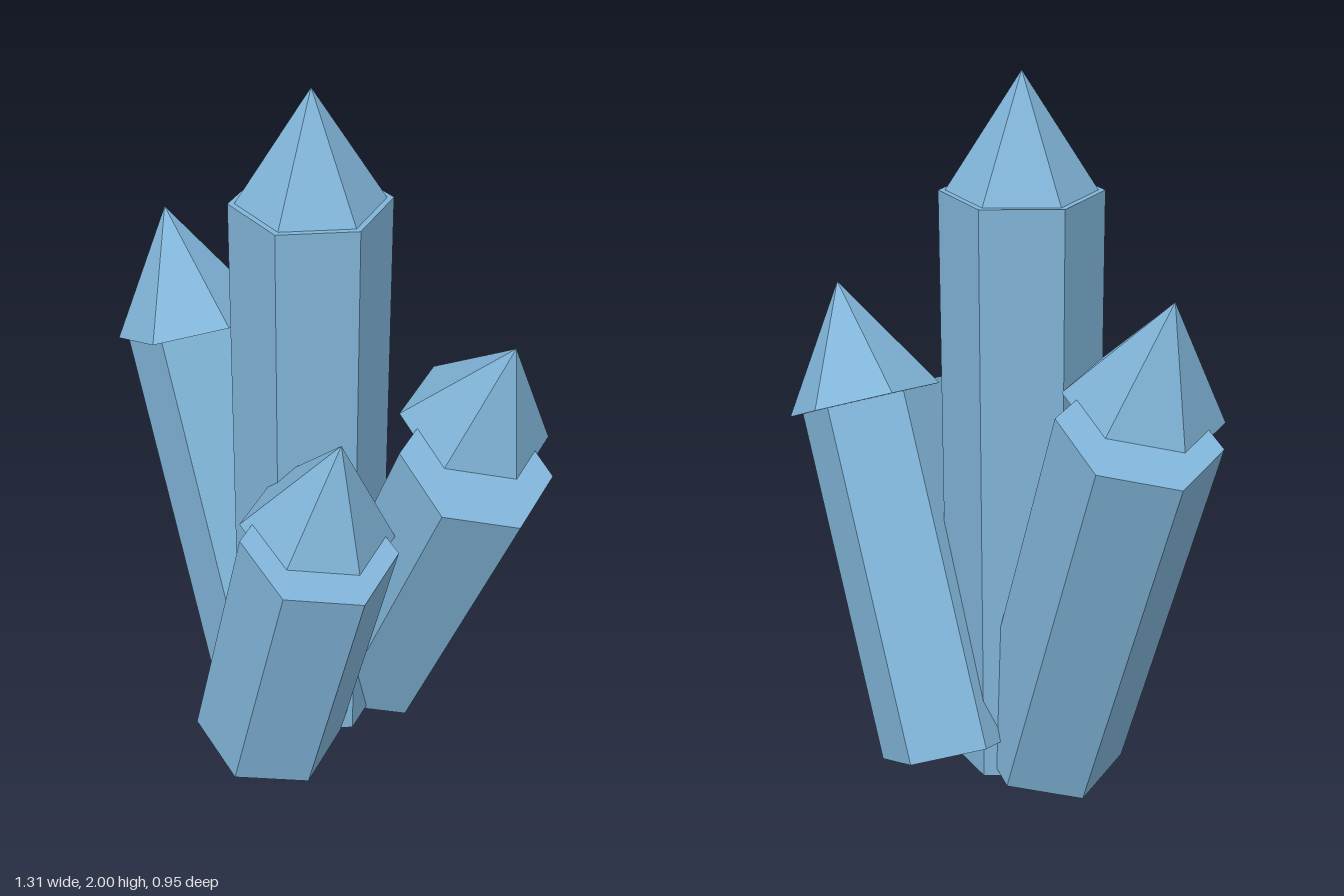
import * as THREE from 'three';

const SHAFT_RADIUS = 0.215;
const TIP_RADIUS = 0.213;
const TIP_HEIGHT = 0.335;

// Each crystal: centre of the shaft's bottom and top, and the apex of its loosely seated tip.
const CRYSTALS = [
  { name: 'centreCrystal', bottom: [-0.023, 0.05, -0.065], top: [-0.023, 1.69, -0.065], apex: [-0.023, 2, -0.065] },
  { name: 'rightCrystal', bottom: [-0.117, 0.083, -0.082], top: [-0.477, 1.178, -0.267], apex: [-0.529, 1.51, -0.197] },
  { name: 'leftCrystal', bottom: [0.098, 0.093, -0.233], top: [0.475, 1.028, -0.038], apex: [0.54, 1.365, -0.107] },
  { name: 'frontCrystal', bottom: [-0.056, 0.066, 0.155], top: [0.153, 0.857, 0.26], apex: [0.197, 1.17, 0.226] },
];

function createCrystal({ name, bottom, top, apex }, material) {
  const start = new THREE.Vector3(...bottom);
  const end = new THREE.Vector3(...top);
  const length = start.distanceTo(end);
  const axis = end.clone().sub(start).normalize();
  // Pitch about x first, then roll about z, so the hexagon keeps its heading.
  const tilt = new THREE.Euler(Math.asin(axis.z), 0, Math.atan2(-axis.x, axis.y), 'ZXY');

  const crystal = new THREE.Group();
  crystal.name = name;

  // Six-sided shaft
  const shaft = new THREE.Mesh(
    new THREE.CylinderGeometry(SHAFT_RADIUS, SHAFT_RADIUS, length, 6), material);
  shaft.name = 'shaft';
  shaft.position.copy(start).lerp(end, 0.5);
  shaft.rotation.copy(tilt);

  // Pointed tip, hung from its apex
  const tipGeometry = new THREE.ConeGeometry(TIP_RADIUS, TIP_HEIGHT, 6);
  tipGeometry.translate(0, -TIP_HEIGHT / 2, 0);
  const tip = new THREE.Mesh(tipGeometry, material);
  tip.name = 'tip';
  tip.position.set(...apex);
  tip.rotation.copy(tilt);

  crystal.add(shaft, tip);
  return crystal;
}

export function createModel() {
  const material = new THREE.MeshStandardMaterial({ color: 0x80b4d8 });
  material.name = 'pale blue crystal';
  material.flatShading = true;

  const cluster = new THREE.Group();
  cluster.name = 'crystalCluster';
  for (const crystal of CRYSTALS) cluster.add(createCrystal(crystal, material));
  return cluster;
}
